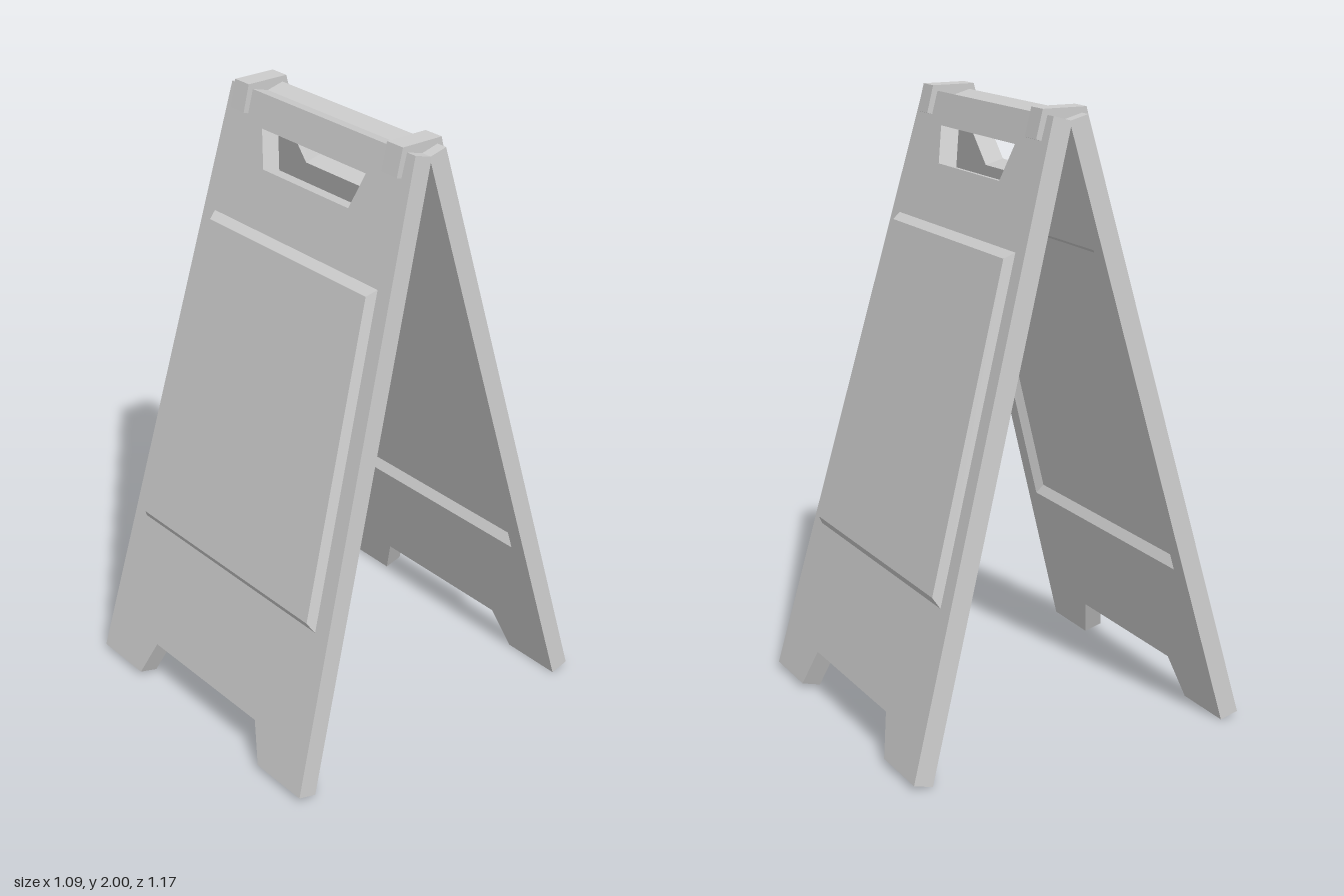
import * as THREE from 'three';

const material = new THREE.MeshStandardMaterial({ color: 0xcccccc, flatShading: true });
const TILT = THREE.MathUtils.degToRad(15);
const THICK = 0.065, HEIGHT = 2.034, RELIEF = 0.026;

// Outline of the raised sign field and its bevelled inner rim (counter-clockwise)
const FIELD = [[-0.455, 0.531], [0.455, 0.531], [0.402, 1.621], [-0.402, 1.621]];
const RIM = [[-0.436, 0.557], [0.436, 0.557], [0.386, 1.595], [-0.386, 1.595]];

const points = (list) => list.map(([x, y]) => new THREE.Vector2(x, y));

function addMesh(parent, name, geometry) {
  const mesh = new THREE.Mesh(geometry, material);
  mesh.name = name;
  parent.add(mesh);
  return mesh;
}

// Flat face with four bevels, shifted by RELIEF from zBase; flip turns it to face -z
function bevelledFace(zBase, flip) {
  const pos = [];
  const low = FIELD.map(([x, y]) => [x, y, zBase]);
  const high = RIM.map(([x, y]) => [x, y, zBase + RELIEF]);
  const quad = (a, b, c, d) => {
    const tris = flip ? [a, c, b, a, d, c] : [a, b, c, a, c, d];
    tris.forEach((p) => pos.push(...p));
  };
  for (let i = 0; i < 4; i++) {
    const j = (i + 1) % 4;
    quad(low[i], low[j], high[j], high[i]);
  }
  quad(...high);
  const geometry = new THREE.BufferGeometry();
  geometry.setAttribute('position', new THREE.Float32BufferAttribute(pos, 3));
  geometry.computeVertexNormals();
  return geometry;
}

// One leaning board: tapered slab with feet, handle slot and pressed sign field
function createBoard(name) {
  const board = new THREE.Group();
  board.name = name;

  const outline = new THREE.Shape(points([
    [-0.545, 0], [-0.33, 0], [-0.273, 0.133], [0.273, 0.133], [0.33, 0], [0.545, 0],
    [0.437, HEIGHT], [-0.437, HEIGHT],
  ]));
  outline.holes.push(new THREE.Path(points([
    [-0.207, 1.81], [-0.25, 1.929], [0.25, 1.929], [0.207, 1.81],
  ])));
  outline.holes.push(new THREE.Path(points([...FIELD].reverse())));
  addMesh(board, 'slab', new THREE.ExtrudeGeometry(outline, { depth: THICK, bevelEnabled: false }));

  addMesh(board, 'raisedField', bevelledFace(THICK, false));
  addMesh(board, 'innerRecess', bevelledFace(0, true));

  board.position.z = 0.522;
  board.rotation.x = -TILT;
  return board;
}

// Clip that straddles the top edges of both boards
function createClip(name, x) {
  const width = 0.07;
  const profile = new THREE.Shape(points([
    [-0.074, 2], [-0.096, 1.912], [-0.07, 1.904], [-0.05, 1.975], [0, 1.962],
    [0.05, 1.975], [0.07, 1.904], [0.096, 1.912], [0.074, 2],
  ]));
  const geometry = new THREE.ExtrudeGeometry(profile, { depth: width, bevelEnabled: false });
  geometry.translate(0, 0, -width / 2);
  geometry.rotateY(Math.PI / 2);
  const mesh = new THREE.Mesh(geometry, material);
  mesh.name = name;
  mesh.position.x = x;
  return mesh;
}

export function createModel() {
  const model = new THREE.Group();
  model.name = 'foldingFloorSign';

  model.add(createBoard('frontBoard'));

  // The back board is the front one turned half a revolution
  const back = new THREE.Group();
  back.name = 'backHalf';
  back.add(createBoard('backBoard'));
  back.rotation.y = Math.PI;
  model.add(back);

  model.add(createClip('leftHingeClip', 0.365), createClip('rightHingeClip', -0.365));
  return model;
}
